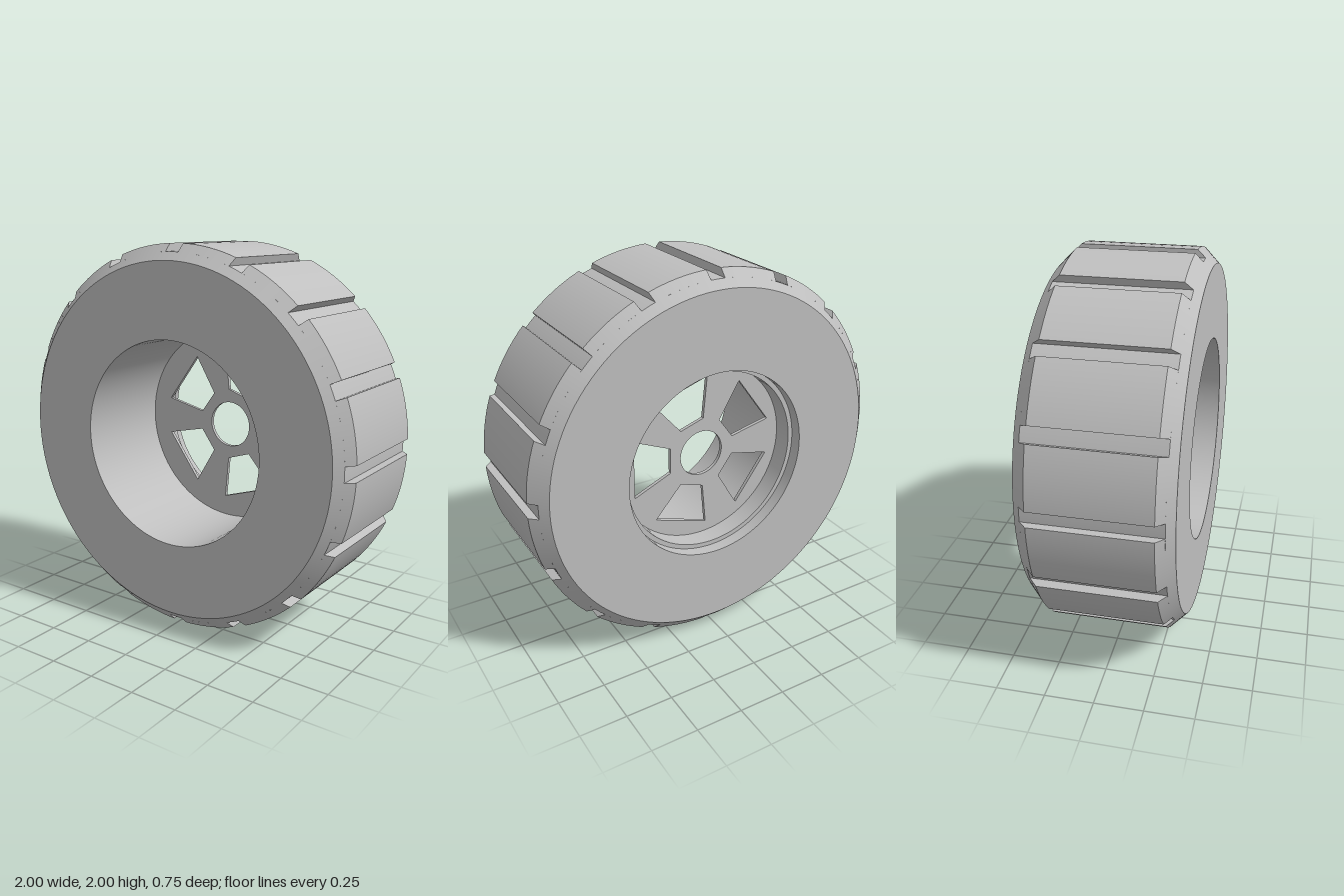
import * as THREE from 'three';
import { mergeGeometries } from 'three/addons/utils/BufferGeometryUtils.js';

const GROOVES = 16;
const HALF_GROOVE = 0.04;

// Lathe about z from [radius, z] points, with a sharp edge at every point
function sharpLathe(points, segments, start = 0, length = Math.PI * 2) {
  const bands = [];
  for (let i = 0; i < points.length - 1; i++) {
    const pair = [points[i], points[i + 1]].map(([r, z]) => new THREE.Vector2(r, z));
    bands.push(new THREE.LatheGeometry(pair, segments, start, length));
  }
  return mergeGeometries(bands).rotateX(Math.PI / 2);
}

export function createModel() {
  const group = new THREE.Group();
  const grey = new THREE.MeshStandardMaterial({ color: 0xbfbfbf, side: THREE.DoubleSide });
  grey.name = 'grey';
  const add = (name, geometry, parent = group) => {
    const mesh = new THREE.Mesh(geometry, grey);
    mesh.name = name;
    parent.add(mesh);
    return mesh;
  };

  // Tyre body: deep bore at the front, stepped recess at the back
  add('tyreBody', sharpLathe([
    [0.485, -0.2], [0.485, -0.31], [0.51, -0.31], [0.51, -0.375],
    [0.92, -0.375], [0.96, -0.335], [0.96, 0.335], [0.92, 0.375],
    [0.535, 0.375], [0.535, -0.19],
  ], 128));

  // Raised tread blocks with chamfered shoulders, separated by narrow grooves
  const blockProfile = [[0.96, -0.335], [1, -0.295], [1, 0.295], [0.96, 0.335]];
  const endShape = new THREE.Shape(blockProfile.map(([r, z]) => new THREE.Vector2(r, z)));
  const step = (Math.PI * 2) / GROOVES;
  const tread = new THREE.Group();
  tread.name = 'tread';
  group.add(tread);
  for (let i = 0; i < GROOVES; i++) {
    const start = i * step + HALF_GROOVE;
    const length = step - 2 * HALF_GROOVE;
    add('treadBlock', sharpLathe(blockProfile, 8, start, length), tread);
    // End walls; the starting wall is turned to face out of the block
    for (const [angle, flip] of [[start, false], [start + length, true]]) {
      const wall = new THREE.ShapeGeometry(endShape);
      if (!flip) wall.scale(1, -1, 1).rotateX(Math.PI);
      wall.rotateY(angle - Math.PI / 2).rotateX(Math.PI / 2);
      add('grooveWall', wall, tread);
    }
  }

  // Thin wheel disc with a centre hole and five tapered windows
  const disc = new THREE.Shape().absarc(0, 0, 0.535, 0, Math.PI * 2);
  disc.holes.push(new THREE.Path().absarc(0, 0, 0.125, 0, Math.PI * 2, true));
  const windowCorners = [[0.185, 0.07], [0.395, 0.16], [0.395, -0.16], [0.185, -0.07]];
  for (let i = 0; i < 5; i++) {
    const centre = new THREE.Vector2();
    const corners = windowCorners.map(([x, y]) =>
      new THREE.Vector2(x, y).rotateAround(centre, (i * Math.PI * 2) / 5));
    disc.holes.push(new THREE.Path(corners));
  }
  const discGeometry = new THREE.ExtrudeGeometry(disc, {
    depth: 0.02, bevelEnabled: false, curveSegments: 64,
  });
  add('wheelDisc', discGeometry.translate(0, 0, -0.205));

  group.position.y = 1;
  const model = new THREE.Group();
  model.name = 'wheel';
  model.add(group);
  return model;
}
